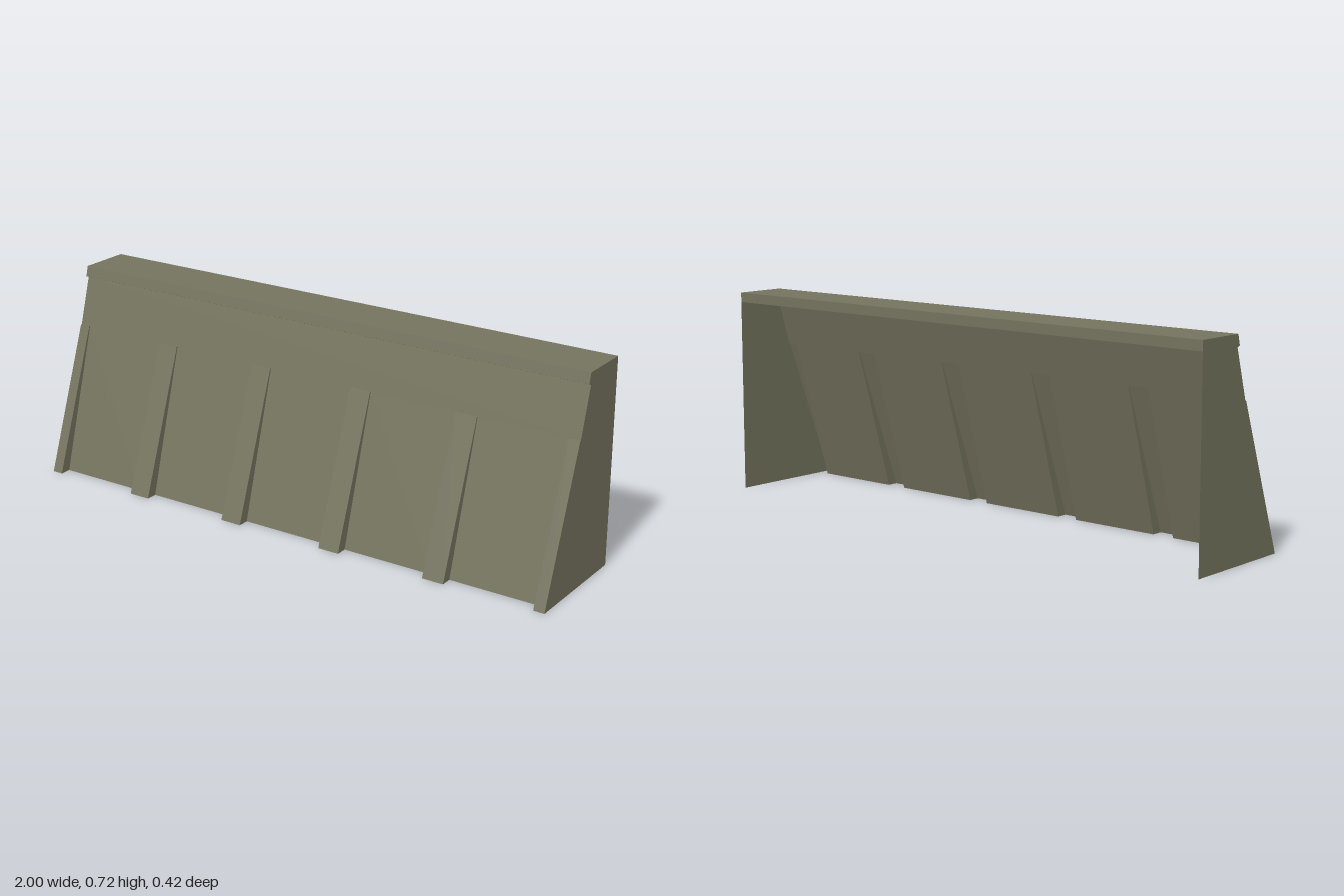
import * as THREE from 'three';

// Profile points as [z, y]
const BACK_LIP = [-0.21, 0.683], BACK_TOP = [-0.21, 0.717], FRONT_TOP = [-0.025, 0.717];
const LIP_EDGE = [-0.016, 0.681], WALL_TOP = [-0.028, 0.676];
const WALL_MID = [0.021, 0.51], WALL_FOOT = [0.17, 0];
const RIB_TOP = [0.025, 0.51], RIB_FOOT = [0.21, 0];

// Folded sheet: sweeps an open profile from x0 to x1, with hard folds
function sheet(profile, x0, x1) {
  const pos = [];
  for (let i = 0; i < profile.length - 1; i++) {
    const [az, ay] = profile[i], [bz, by] = profile[i + 1];
    pos.push(x0, ay, az, x0, by, bz, x1, by, bz);
    pos.push(x0, ay, az, x1, by, bz, x1, ay, az);
  }
  const geo = new THREE.BufferGeometry();
  geo.setAttribute('position', new THREE.Float32BufferAttribute(pos, 3));
  geo.computeVertexNormals();
  return geo;
}

// Flat plate across x, facing left (+x) for side = 1 or right for side = -1
function plate(outline, x, side) {
  const shape = new THREE.Shape(outline.map(([z, y]) => new THREE.Vector2(-side * z, y)));
  return new THREE.ShapeGeometry(shape).rotateY(side * Math.PI / 2).translate(x, 0, 0);
}

export function createModel() {
  const group = new THREE.Group();
  group.name = 'slopedBarrier';
  const olive = new THREE.MeshStandardMaterial({ color: 0x75745f, side: THREE.DoubleSide });
  olive.name = 'olive';
  const add = (name, geo) => {
    const mesh = new THREE.Mesh(geo, olive);
    mesh.name = name;
    group.add(mesh);
  };

  // Top cap with a short back flange and an overhanging front lip
  add('topCap', sheet([BACK_LIP, BACK_TOP, FRONT_TOP, LIP_EDGE, WALL_TOP], -1, 1));
  add('upperWall', sheet([WALL_TOP, WALL_MID], -1, 1));

  // Hollow tapering ribs, half width at both ends, with wall panels between
  const ribs = [-1, -0.6, -0.2, 0.2, 0.6, 1].map(c => [Math.max(c - 0.039, -1), Math.min(c + 0.039, 1)]);
  const ribSide = [WALL_MID, WALL_FOOT, RIB_FOOT, RIB_TOP];
  ribs.forEach(([x0, x1], i) => {
    add('rib', sheet([WALL_MID, RIB_TOP, RIB_FOOT], x0, x1));
    if (x0 > -1) add('ribRightSide', plate(ribSide, x0, -1));
    if (x1 < 1) {
      add('ribLeftSide', plate(ribSide, x1, 1));
      add('wallPanel', sheet([WALL_MID, WALL_FOOT], x1, ribs[i + 1][0]));
    }
  });

  // End plates close both sides
  const end = [[-0.21, 0], BACK_TOP, FRONT_TOP, LIP_EDGE, WALL_TOP, WALL_MID, RIB_TOP, RIB_FOOT];
  add('leftEnd', plate(end, 1, 1));
  add('rightEnd', plate(end, -1, -1));
  return group;
}
